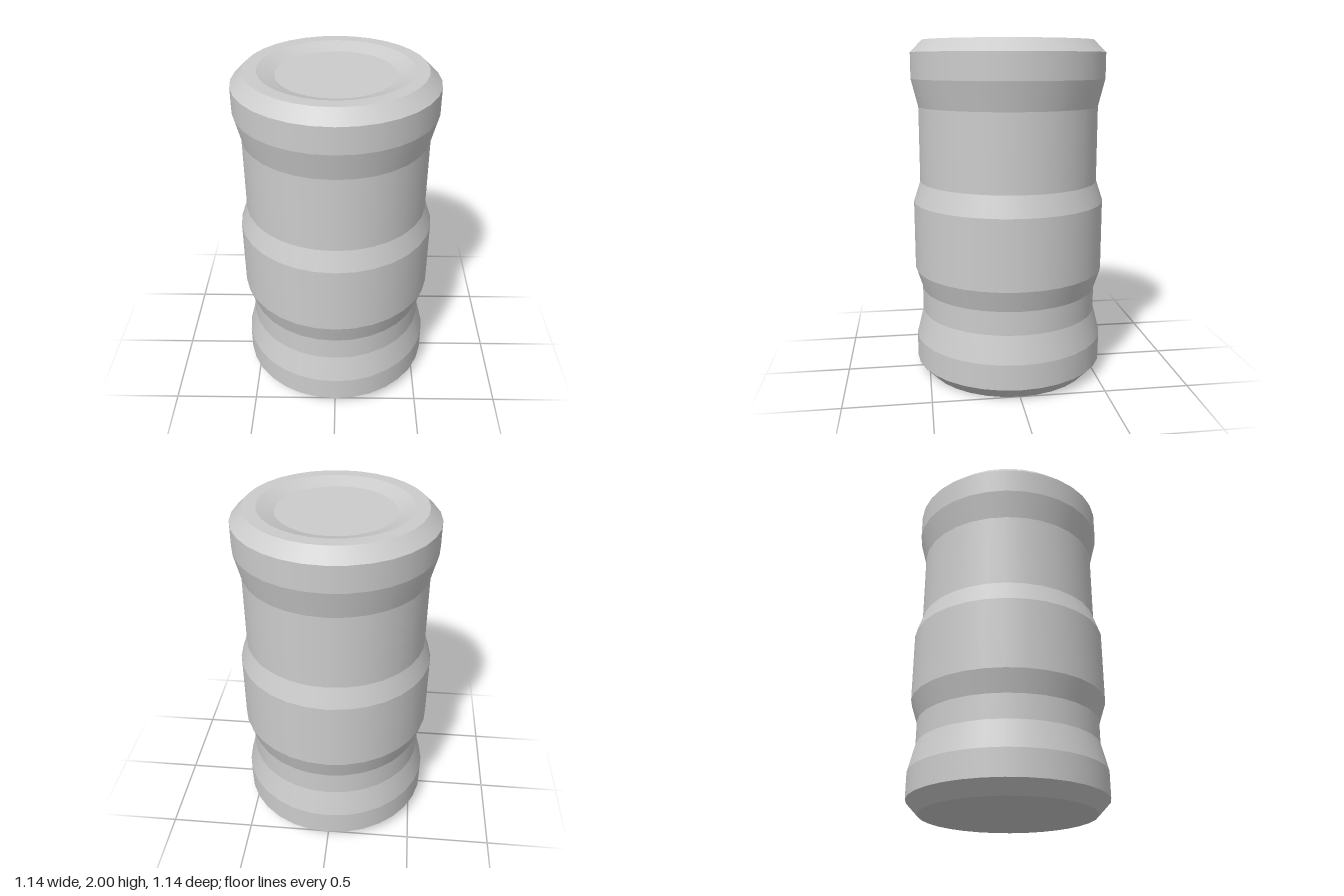
import * as THREE from 'three';
import { mergeGeometries } from 'three/addons/utils/BufferGeometryUtils.js';

const SIDES = 32;

// Revolves a profile [radius, y]: smooth around the axis, a sharp edge between bands
function turned(name, profile, material) {
  const points = profile.map(([r, y]) => new THREE.Vector2(r, y));
  const bands = [];
  for (let i = 0; i < points.length - 1; i++) {
    bands.push(new THREE.LatheGeometry([points[i], points[i + 1]], SIDES));
  }
  const mesh = new THREE.Mesh(mergeGeometries(bands), material);
  mesh.name = name;
  return mesh;
}

export function createModel() {
  const group = new THREE.Group();
  group.name = 'canister';
  const grey = new THREE.MeshStandardMaterial({ color: 0xcccccc });

  // Flat underside with a chamfered edge
  group.add(turned('base', [[0, 0], [0.5, 0], [0.57, 0.075]], grey));

  // Wall with a narrow and a wide waist between three raised bands
  group.add(turned('body', [
    [0.57, 0.075], [0.57, 0.225],
    [0.53, 0.385], [0.53, 0.525],
    [0.57, 0.65], [0.57, 1.06],
    [0.53, 1.18], [0.53, 1.62],
    [0.57, 1.78], [0.57, 1.93],
  ], grey));

  // Chamfered rim and shallow dished top
  group.add(turned('lid', [
    [0.57, 1.93], [0.5, 2], [0.425, 2], [0.33, 1.968], [0, 1.968],
  ], grey));

  return group;
}
